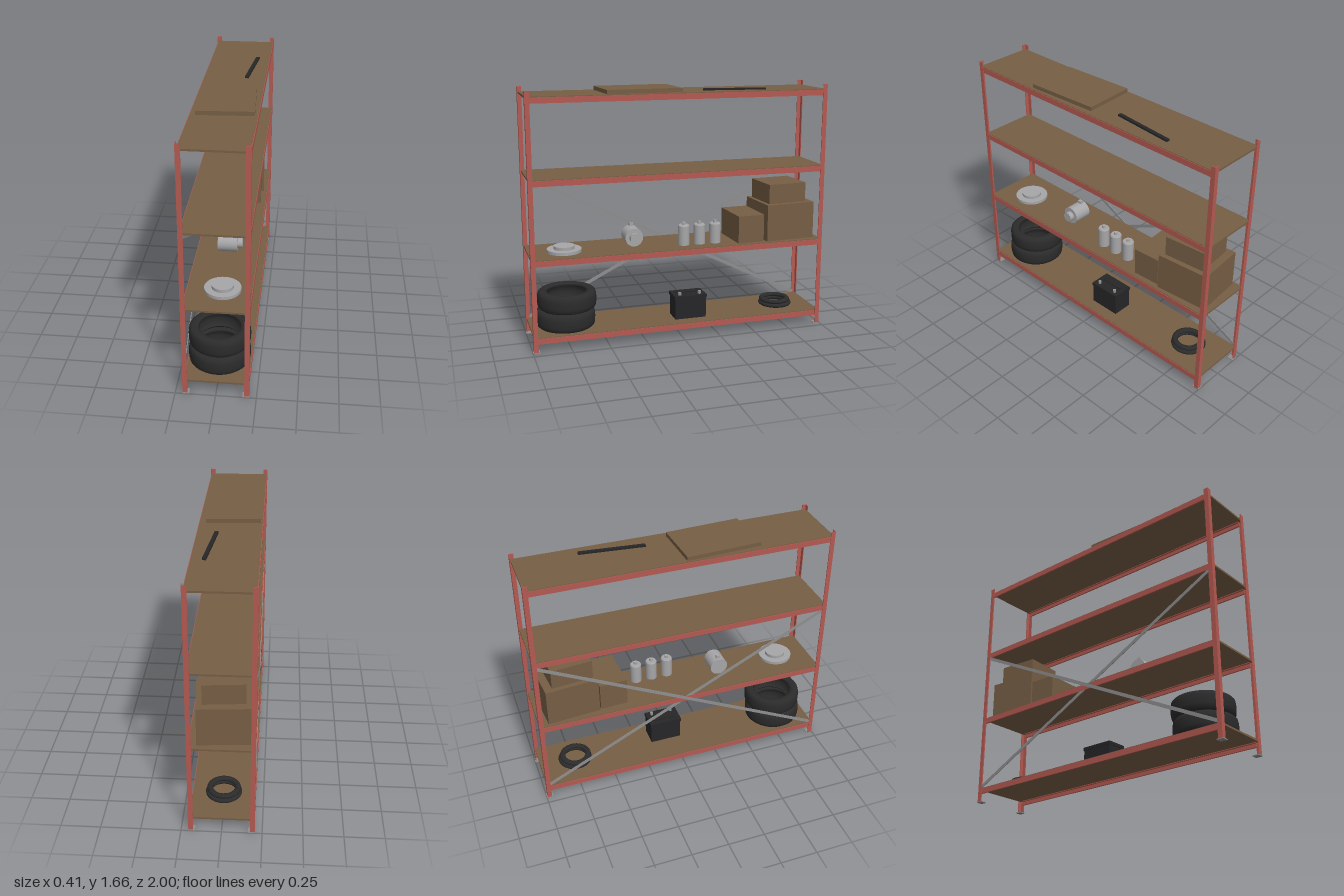
import * as THREE from 'three';

const mat = (name, color) => {
  const m = new THREE.MeshStandardMaterial({ color });
  m.name = name;
  return m;
};

export function createModel() {
  const red = mat('red paint', 0xb35a51);
  const board = mat('brown board', 0x765e44);
  const zinc = mat('zinc grey', 0x8e8e8e);
  const silver = mat('light metal', 0xa6a6a8);
  const rubber = mat('black rubber', 0x2b2b2b);
  const plastic = mat('black plastic', 0x262628);

  const model = new THREE.Group();
  const add = (name, geo, material, x, y, z, parent = model) => {
    const mesh = new THREE.Mesh(geo, material);
    mesh.name = name;
    mesh.position.set(x, y, z);
    parent.add(mesh);
    return mesh;
  };
  const box = (w, h, d) => new THREE.BoxGeometry(w, h, d);
  const cyl = (r, h, n = 32) => new THREE.CylinderGeometry(r, r, h, n);
  const lathe = (pts, n = 40) => new THREE.LatheGeometry(pts.map(p => new THREE.Vector2(...p)), n);
  const group = (name, x, y, z) => {
    const g = new THREE.Group();
    g.name = name;
    g.position.set(x, y, z);
    model.add(g);
    return g;
  };

  // Angle-iron posts on small foot plates
  const angle = new THREE.Shape();
  [[0, 0], [0.03, 0], [0.03, 0.005], [0.005, 0.005], [0.005, 0.03], [0, 0.03]]
    .forEach(([x, y], i) => (i ? angle.lineTo(x, y) : angle.moveTo(x, y)));
  const postGeo = new THREE.ExtrudeGeometry(angle, { depth: 1.66, bevelEnabled: false });
  postGeo.rotateX(-Math.PI / 2);
  const turns = [[-1, 1, 0], [1, 1, 1], [1, -1, 2], [-1, -1, 3]];
  for (const [sx, sz, t] of turns) {
    const post = add('post', postGeo, red, sx * 0.205, 0.005, sz * 0.995);
    post.rotation.y = t * Math.PI / 2;
    add('footPlate', box(0.042, 0.006, 0.045), zinc, sx * 0.184, 0.003, sz * 0.9775);
  }

  // Four decks, each resting on two long beams with a lower lip
  for (const top of [0.1, 0.612, 1.123, 1.633]) {
    add('deck', box(0.396, 0.012, 1.978), board, 0, top - 0.006, 0);
    for (const s of [-1, 1]) {
      add('beam', box(0.01, 0.037, 1.94), red, s * 0.197, top - 0.0225, 0);
      add('beamLip', box(0.014, 0.005, 1.94), red, s * 0.187, top - 0.0145, 0);
    }
  }

  // Crossed flat braces on one long side
  for (const s of [-1, 1]) {
    const brace = add('brace', box(0.004, 0.022, 2.17), zinc, -0.2 - s * 0.002, 0.595, 0);
    brace.rotation.x = s * Math.atan2(0.97, 1.94);
  }

  // Stacked tyres
  const tyreGeo = lathe([
    [0.128, -0.045], [0.135, -0.056], [0.155, -0.0625], [0.178, -0.058], [0.19, -0.046], [0.194, -0.025],
    [0.195, 0], [0.194, 0.025], [0.19, 0.046], [0.178, 0.058], [0.155, 0.0625], [0.135, 0.056],
    [0.128, 0.045], [0.14, 0.038], [0.155, 0], [0.14, -0.038], [0.128, -0.045]], 48);
  add('lowerTyre', tyreGeo, rubber, 0, 0.163, 0.753);
  add('upperTyre', tyreGeo, rubber, 0, 0.288, 0.743);

  // Battery with lid, cell strip and terminals
  const battery = group('battery', 0.05, 0.1, -0.08);
  add('batteryCase', box(0.136, 0.14, 0.216), plastic, 0, 0.07, 0, battery);
  add('batteryLid', box(0.145, 0.022, 0.225), plastic, 0, 0.15, 0, battery);
  add('cellStrip', box(0.03, 0.006, 0.16), plastic, -0.02, 0.164, 0, battery);
  for (const s of [-1, 1]) add('terminal', cyl(0.011, 0.02, 16), zinc, 0.04, 0.17, s * 0.07, battery);

  // Two coiled rings
  for (const [i, y] of [0.115, 0.141].entries()) {
    const ring = add('coil', new THREE.TorusGeometry(0.096 - i * 0.008, 0.019, 14, 40), rubber, 0, y, -0.745 + i * 0.004);
    ring.scale.z = 0.78;
    ring.rotation.x = -Math.PI / 2;
  }

  // Brake disc
  const disc = group('brakeDisc', 0.02, 0.612, 0.754);
  add('discPlate', cyl(0.113, 0.02, 48), silver, 0, 0.01, 0, disc);
  add('discHub', cyl(0.068, 0.022, 40), silver, 0, 0.03, 0, disc);

  // Generator lying on its side, with pulley and mounting lug
  const generator = group('generator', 0, 0.68, 0.295);
  for (const [name, r, h, x] of [['generatorBody', 0.06, 0.124, 0.004], ['pulley', 0.033, 0.034, 0.082]]) {
    add(name, cyl(r, h), silver, x, 0, 0, generator).rotation.z = -Math.PI / 2;
  }
  add('mountingLug', box(0.022, 0.03, 0.026), silver, -0.03, 0.064, 0, generator);

  // Row of canisters with necks
  for (const z of [-0.04, -0.15, -0.26]) {
    const can = group('canister', 0.08, 0.612, z);
    add('canBody', cyl(0.038, 0.13), silver, 0, 0.065, 0, can);
    add('canShoulder', new THREE.CylinderGeometry(0.033, 0.038, 0.007, 32), silver, 0, 0.1335, 0, can);
    add('canNeck', cyl(0.012, 0.018, 16), silver, 0, 0.145, 0, can);
  }

  // Cartons, slightly turned
  const cartons = [
    ['smallCarton', 0.3, 0.185, 0.185, 0.012, 0.612, -0.485, 0.05],
    ['largeCarton', 0.325, 0.25, 0.35, 0, 0.612, -0.765, 0.08],
    ['upperCarton', 0.26, 0.132, 0.275, 0, 0.863, -0.752, 0.09],
    ['flatCarton', 0.345, 0.026, 0.495, -0.003, 1.634, 0.247, 0.05],
  ];
  for (const [name, w, h, d, x, y, z, turn] of cartons) {
    add(name, box(w, h, d), board, x, y + h / 2, z).rotation.y = turn;
  }

  // Thin blade on the top deck
  add('blade', box(0.024, 0.012, 0.42), plastic, 0.098, 1.64, -0.38).rotation.y = -0.1;

  return model;
}
